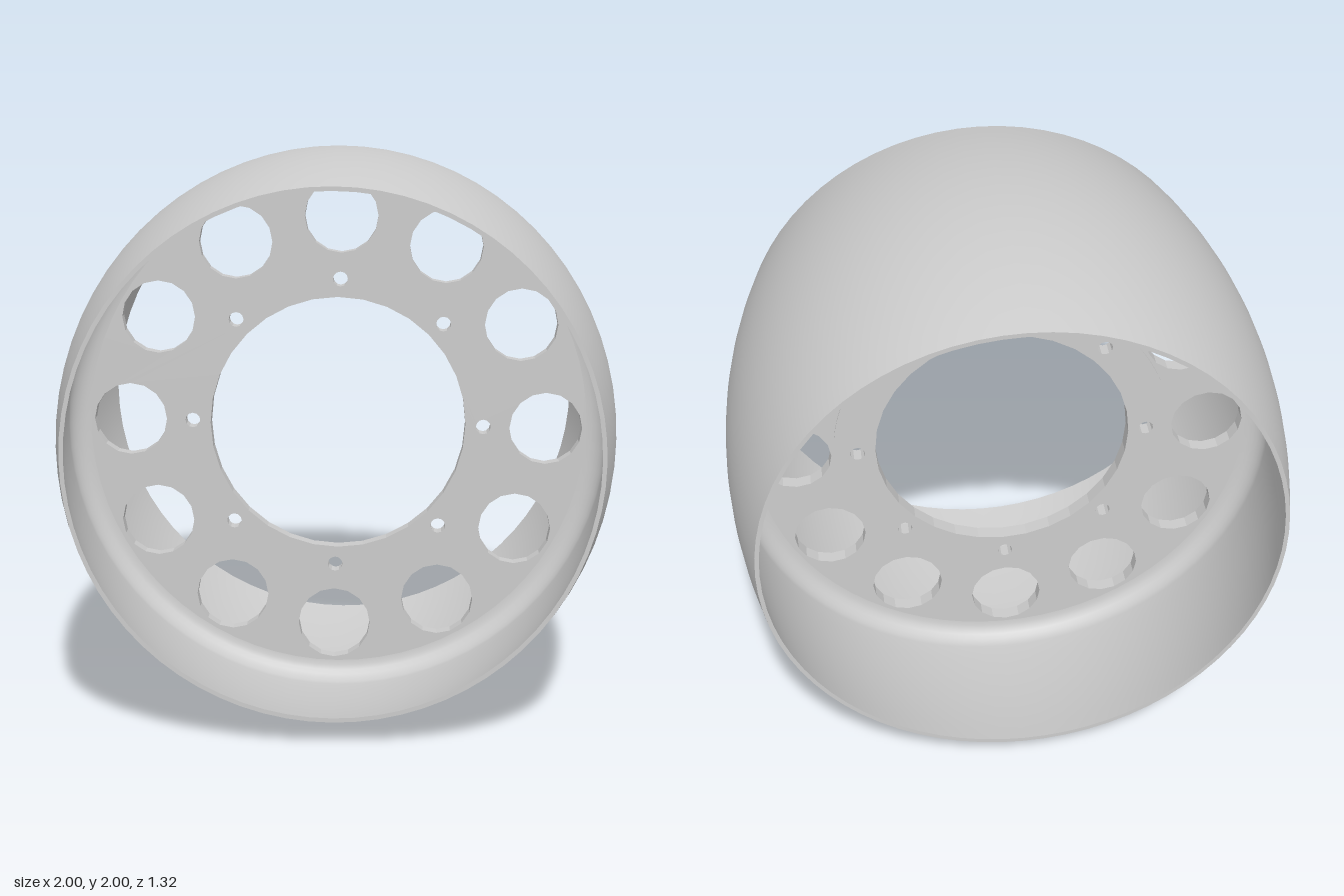
import * as THREE from 'three';

const HALF = 0.66;   // half width of the drum
const WEB = 0.025;   // half thickness of the web plate
const TWIST = -0.018; // small rotation of the hole pattern
const SEGMENTS = 72;

const material = new THREE.MeshStandardMaterial({ color: 0xcccccc });

// Crowned radius at depth z, bulging in the middle
const crown = (z, mid, edge) => mid - (mid - edge) * (z / HALF) ** 2;
const outerR = (z) => crown(z, 1.0, 0.915);
const innerR = (z) => crown(z, 0.975, 0.9);

// Surface of revolution about z from [radius, z] pairs; rising z faces outwards
function revolve(name, points) {
  const geometry = new THREE.LatheGeometry(points.map(([r, z]) => new THREE.Vector2(r, z)), SEGMENTS);
  geometry.rotateX(Math.PI / 2);
  const mesh = new THREE.Mesh(geometry, material);
  mesh.name = name;
  return mesh;
}

function circle(PathType, cx, cy, r, sides) {
  const points = [];
  for (let i = 0; i < sides; i++) {
    const a = (i / sides) * Math.PI * 2;
    points.push(new THREE.Vector2(cx + r * Math.cos(a), cy + r * Math.sin(a)));
  }
  return new PathType(points);
}

function addHoles(shape, count, ring, r, sides) {
  for (let i = 0; i < count; i++) {
    const a = (i / count) * Math.PI * 2 + TWIST;
    shape.holes.push(circle(THREE.Path, ring * Math.cos(a), ring * Math.sin(a), r, sides));
  }
}

// Perforated disc between two depths
function plate(name, radius, z0, z1, withLargeHoles) {
  const shape = circle(THREE.Shape, 0, 0, radius, SEGMENTS);
  shape.holes.push(circle(THREE.Path, 0, 0, 0.465, 32));
  addHoles(shape, 8, 0.53, 0.027, 12);
  if (withLargeHoles) addHoles(shape, 12, 0.757, 0.132, 16);
  const geometry = new THREE.ExtrudeGeometry(shape, { depth: z1 - z0, bevelEnabled: false });
  geometry.translate(0, 0, z0);
  const mesh = new THREE.Mesh(geometry, material);
  mesh.name = name;
  return mesh;
}

export function createModel() {
  const model = new THREE.Group();
  model.name = 'wheelDrum';
  const drum = new THREE.Group();
  drum.name = 'drum';
  drum.position.y = 1;
  model.add(drum);

  // Crowned outer tread
  const tread = [];
  for (let i = 0; i <= 20; i++) {
    const z = -HALF + (2 * HALF * i) / 20;
    tread.push([outerR(z), z]);
  }
  drum.add(revolve('tread', tread));

  // Inner wall from the lip down to a rounded fillet that meets the web
  const wall = [];
  const filletR = 0.07;
  const filletZ = WEB + filletR;
  for (let i = 0; i <= 8; i++) {
    const z = HALF + ((filletZ - HALF) * i) / 8;
    wall.push([innerR(z), z]);
  }
  const wallR = innerR(filletZ);
  for (let i = 1; i <= 6; i++) {
    const a = (i / 6) * Math.PI / 2;
    wall.push([wallR - filletR * (1 - Math.cos(a)), filletZ - filletR * Math.sin(a)]);
  }
  drum.add(revolve('frontInnerWall', wall));
  drum.add(revolve('backInnerWall', wall.map(([r, z]) => [r, -z]).reverse()));

  // Flat lips joining tread and inner wall
  drum.add(revolve('frontLip', [[outerR(HALF), HALF], [innerR(HALF), HALF]]));
  drum.add(revolve('backLip', [[innerR(HALF), -HALF], [outerR(HALF), -HALF]]));

  // Web with lightening holes, bolt holes and bore, plus a shallow pad behind
  drum.add(plate('web', 0.96, -WEB, WEB, true));
  drum.add(plate('boltPad', 0.615, -WEB - 0.005, -WEB, false));

  return model;
}
